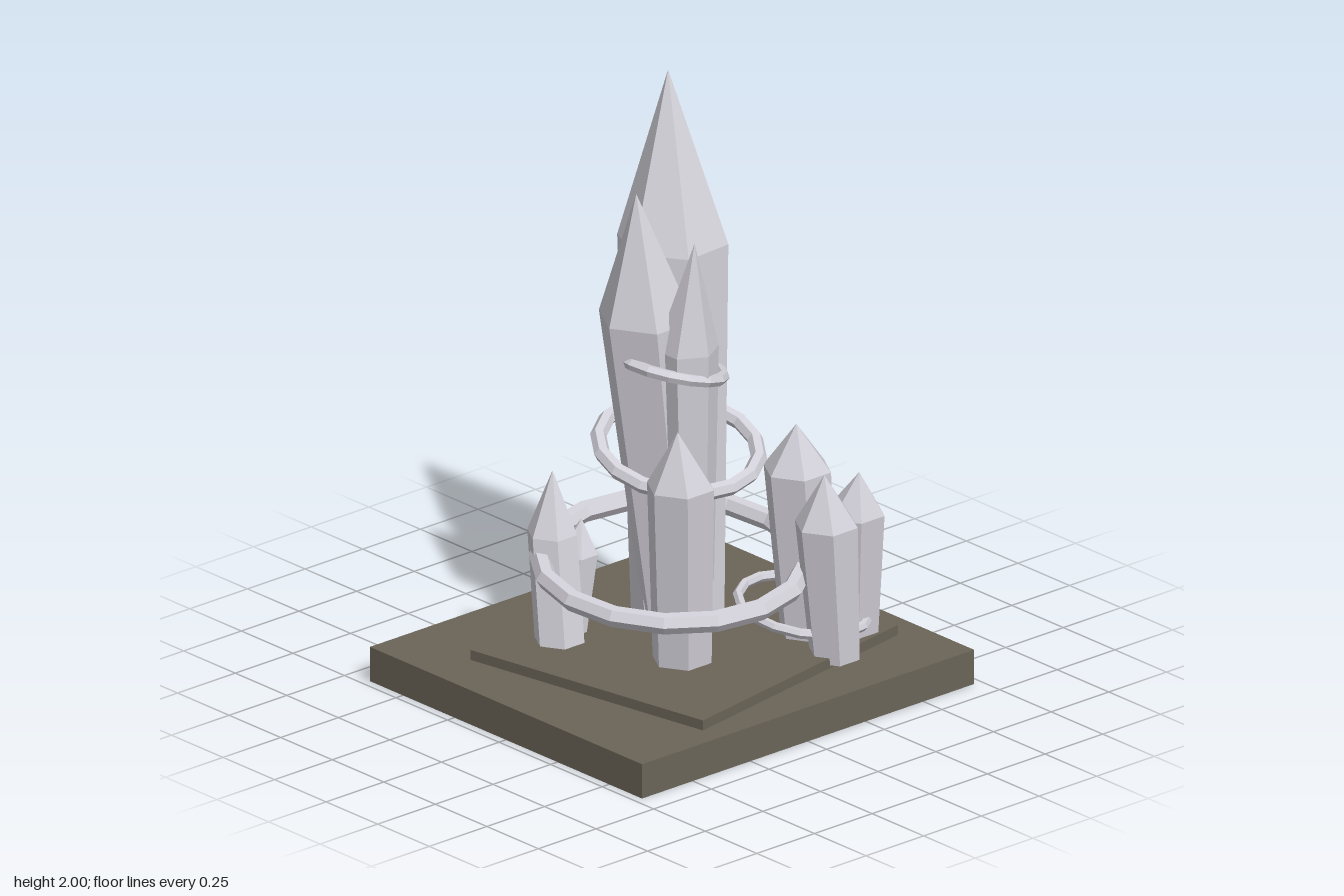
import * as THREE from 'three';

const mat = (name, color) => Object.assign(new THREE.MeshStandardMaterial({ color }), { name });

export function createModel() {
  const model = new THREE.Group();
  const crystalMat = mat('pale crystal', 0xd3d1d9);
  const stoneMat = mat('olive stone', 0x6b6558);

  const add = (name, geometry, material) => {
    const flat = geometry.index ? geometry.toNonIndexed() : geometry;
    flat.computeVertexNormals();
    const mesh = new THREE.Mesh(flat, material);
    mesh.name = name;
    model.add(mesh);
    return mesh;
  };

  // Square plinth with a thin turned slab on top
  add('plinth', new THREE.BoxGeometry(1.44, 0.12, 1.32), stoneMat).position.y = 0.06;
  const slab = add('slab', new THREE.BoxGeometry(1.02, 0.04, 0.957), stoneMat);
  slab.position.set(0.035, 0.135, 0.02);
  slab.rotation.y = Math.PI / 18;

  // Six-sided crystal whose axis runs through base, shoulder and tip [x, y, z]
  const crystal = (name, base, baseR, shoulder, shoulderR, tip, phase = Math.PI / 2) => {
    const profile = [[0, base[1]], [baseR, base[1]], [shoulderR, shoulder[1]], [0, tip[1]]]
      .map(([r, y]) => new THREE.Vector2(r, y));
    const geometry = new THREE.LatheGeometry(profile, 6, phase);
    const pos = geometry.attributes.position;
    for (let i = 0; i < pos.count; i++) {
      const c = [base, base, shoulder, tip][i % 4];
      pos.setXYZ(i, pos.getX(i) + c[0], c[1], pos.getZ(i) + c[2]);
    }
    add(name, geometry, crystalMat);
  };

  // Tall central crystals
  crystal('tallestCrystal', [0.15, 0.13, -0.14], 0.155, [0.2, 1.43, -0.22], 0.185, [0.227, 2, -0.273], 1.65);
  crystal('secondCrystal', [0.1, 0.13, -0.08], 0.115, [-0.02, 1.26, -0.1], 0.163, [-0.066, 1.7, -0.1]);
  crystal('raisedCrystal', [0.05, 0.35, 0.03], 0.08, [0.025, 1.18, 0.045], 0.105, [0.02, 1.56, 0.087], 0);
  crystal('frontCrystal', [-0.09, 0.13, 0.15], 0.1, [-0.142, 0.79, 0.2], 0.114, [-0.167, 0.99, 0.214]);

  // Small crystals at the back
  crystal('backCrystal', [-0.28, 0.13, -0.23], 0.085, [-0.26, 0.51, -0.29], 0.085, [-0.25, 0.72, -0.3]);
  crystal('backCrystalSmall', [-0.21, 0.13, -0.29], 0.075, [-0.17, 0.42, -0.27], 0.07, [-0.16, 0.54, -0.26]);

  // Cluster of three at the front left
  crystal('clusterCrystalInner', [0.37, 0.13, 0.25], 0.095, [0.32, 0.74, 0.25], 0.115, [0.302, 0.905, 0.265]);
  crystal('clusterCrystalFront', [0.33, 0.13, 0.42], 0.085, [0.285, 0.61, 0.43], 0.107, [0.267, 0.79, 0.44]);
  crystal('clusterCrystalOuter', [0.49, 0.13, 0.33], 0.085, [0.468, 0.58, 0.365], 0.1, [0.463, 0.73, 0.39]);

  // Tilted rings; slopes give the rise along x and z
  const ring = (name, x, y, z, radius, tube, slopeX, slopeZ) => {
    const geometry = new THREE.TorusGeometry(radius, tube, 6, 16).rotateX(Math.PI / 2);
    const mesh = add(name, geometry, crystalMat);
    mesh.position.set(x, y, z);
    mesh.rotation.set(-Math.atan(slopeZ), 0, Math.atan(slopeX));
  };
  ring('largeRing', 0, 0.427, 0, 0.43, 0.035, 0.05, -0.09);
  ring('middleRing', 0.06, 0.8, -0.035, 0.262, 0.027, 0.06, -0.25);
  ring('upperRing', 0.032, 1.092, -0.04, 0.173, 0.021, -0.28, -0.02);
  ring('smallRing', 0.36, 0.245, 0.235, 0.215, 0.017, -0.08, -0.15);

  return model;
}
